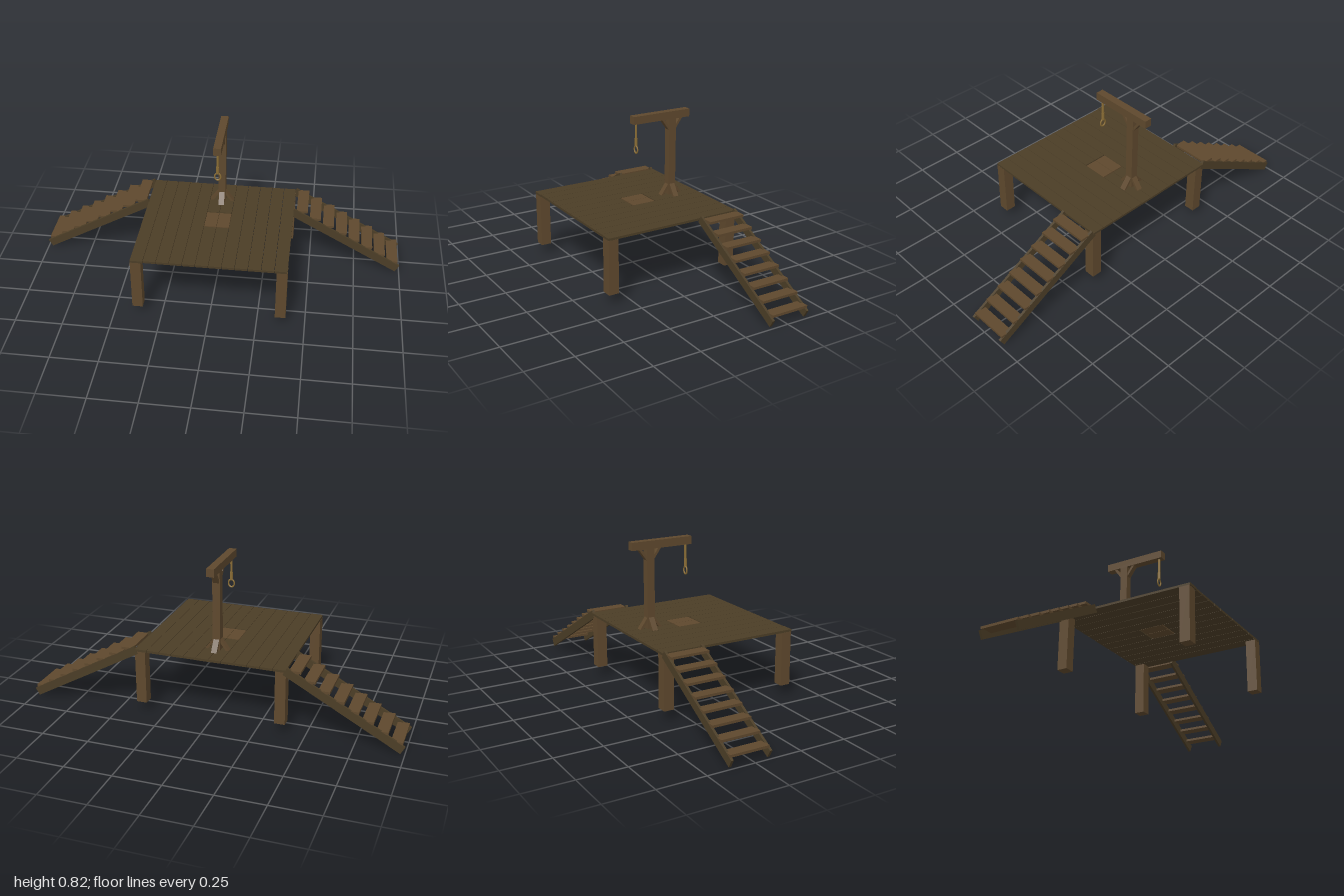
import * as THREE from 'three';

export function createModel() {
  const model = new THREE.Group();
  const mat = (color) => new THREE.MeshStandardMaterial({ color });
  const darkWood = mat(0x4b3d26), wood = mat(0x5e482d), ropeMat = mat(0x8a6d35);

  const add = (name, geometry, material, x, y, z, parent = model) => {
    const mesh = new THREE.Mesh(geometry, material);
    mesh.name = name;
    mesh.position.set(x, y, z);
    parent.add(mesh);
    return mesh;
  };
  // Box given by its limits on each axis
  const box = (name, material, [x0, x1], [y0, y1], [z0, z1], parent) =>
    add(name, new THREE.BoxGeometry(x1 - x0, y1 - y0, z1 - z0), material,
      (x0 + x1) / 2, (y0 + y1) / 2, (z0 + z1) / 2, parent);

  // Deck planks; the two middle ones are cut around the hatch
  const deck = new THREE.Group();
  deck.name = 'deck';
  model.add(deck);
  const count = 12, pitch = 0.8 / count, deckY = [0.348, 0.36];
  for (let i = 0; i < count; i++) {
    const x0 = -0.4 + i * pitch;
    const xs = [x0 + 0.001, x0 + pitch - 0.001];
    if (i === 5 || i === 6) {
      box('plankBack', darkWood, xs, deckY, [-0.382, -0.102], deck);
      box('plankFront', darkWood, xs, deckY, [0.04, 0.376], deck);
      box('hatchDoor', wood, xs, deckY, [-0.096, 0.034], deck);
    } else {
      box('plank', darkWood, xs, deckY, [-0.381, i === 0 ? 0.38 : 0.376], deck);
    }
  }

  // Corner legs
  for (const sx of [-1, 1]) for (const sz of [-1, 1]) {
    add('leg', new THREE.BoxGeometry(0.055, 0.288, 0.055), wood, sx * 0.3725, 0.204, sz * 0.348);
  }

  // Stairs on both sides: two sloping stringers and eight treads each
  for (const s of [-1, 1]) {
    const stairs = new THREE.Group();
    stairs.name = s > 0 ? 'leftStairs' : 'rightStairs';
    model.add(stairs);
    for (const z of [-0.165, -0.37]) {
      const stringer = add('stringer', new THREE.BoxGeometry(0.68, 0.044, 0.013), darkWood,
        s * 0.691, 0.188, z, stairs);
      stringer.rotation.z = -s * Math.atan2(0.33, 0.595);
    }
    for (let i = 0; i < 8; i++) {
      add('tread', new THREE.BoxGeometry(0.06, 0.013, 0.209), wood,
        s * (0.445 + 0.0733 * i), 0.354 - 0.0421 * i, -0.271, stairs);
    }
  }

  // Post and overhanging beam
  const postZ = -0.236;
  box('post', wood, [-0.02, 0.02], [0.36, 0.78], [postZ - 0.021, postZ + 0.021]);
  box('beam', wood, [-0.02, 0.02], [0.78, 0.822], [-0.341, 0.003]);

  // Diagonal braces with mitred ends
  const braceShape = new THREE.Shape([[0.02, 0.06], [0.02, 0.038], [0.047, 0], [0.063, 0]]
    .map(([x, y]) => new THREE.Vector2(x, y)));
  const braceGeo = new THREE.ExtrudeGeometry(braceShape, { depth: 0.03, bevelEnabled: false });
  braceGeo.translate(0, 0, -0.015);
  for (let i = 0; i < 4; i++) {
    add('baseBrace', braceGeo, wood, 0, 0.36, postZ).rotation.y = i * Math.PI / 2;
  }
  for (const s of [-1, 1]) {
    const holder = new THREE.Group();
    holder.name = 'beamBrace';
    holder.position.set(0, 0.78, postZ);
    holder.rotation.y = s * Math.PI / 2;
    model.add(holder);
    add('topBrace', braceGeo, wood, 0, 0, 0, holder).rotation.x = Math.PI;
  }

  // Hanging rope, wrapped knot and oval loop
  const rope = new THREE.Group();
  rope.name = 'rope';
  rope.position.set(0, 0, -0.021);
  model.add(rope);
  add('ropeLine', new THREE.CylinderGeometry(0.006, 0.006, 0.085, 12), ropeMat, 0, 0.7405, 0, rope);
  add('ropeKnot', new THREE.CylinderGeometry(0.008, 0.008, 0.042, 12), ropeMat, 0, 0.68, 0, rope);
  const loop = add('ropeLoop', new THREE.TorusGeometry(0.016, 0.004, 8, 24), ropeMat, 0, 0.64, 0, rope);
  loop.scale.y = 1.25;

  return model;
}
